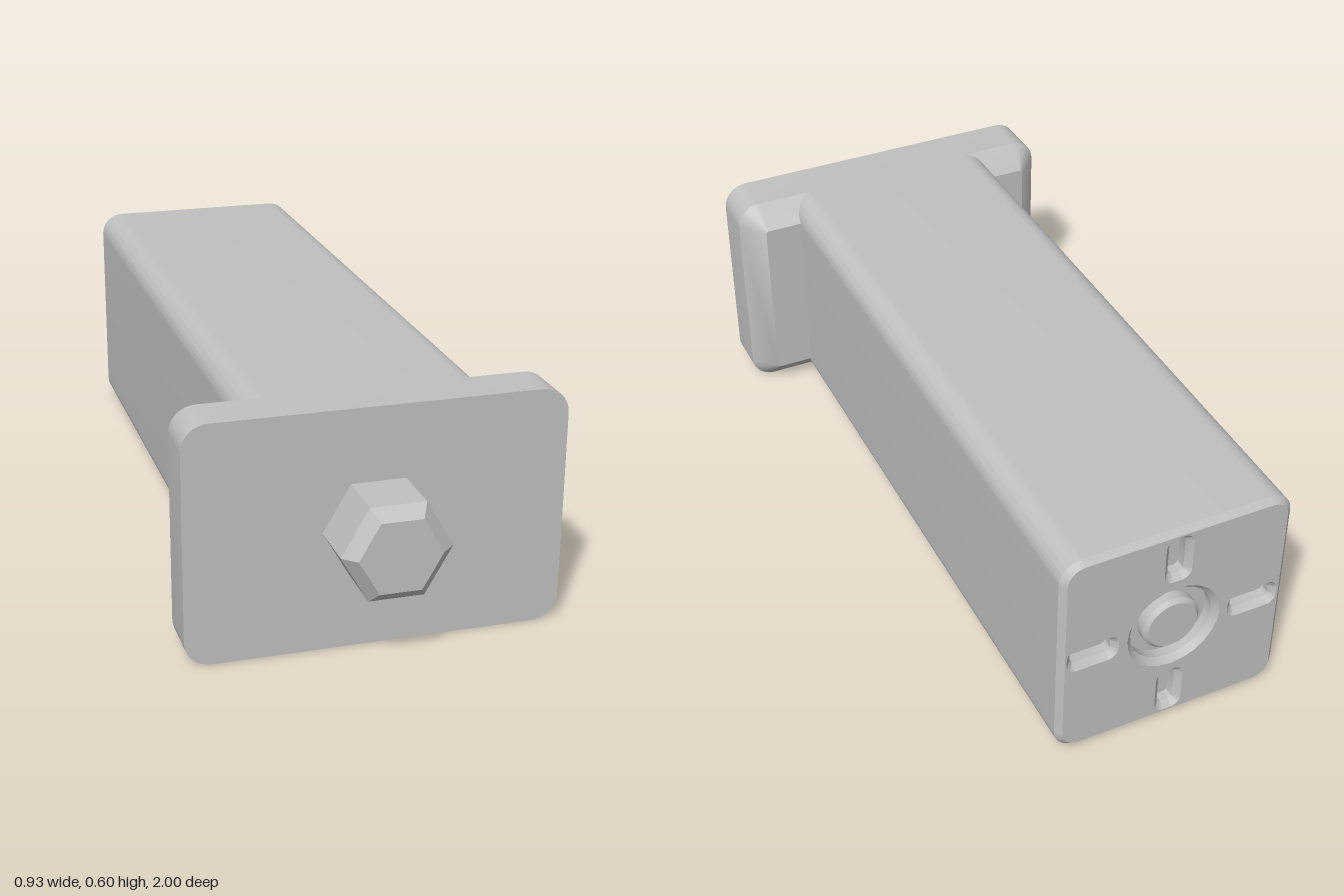
import * as THREE from 'three';
import { toCreasedNormals } from 'three/addons/utils/BufferGeometryUtils.js';

// Rounded rectangle centred on (x, y), as a Shape or as a hole Path
function roundRect(Type, x, y, w, h, r) {
  const s = new Type(), a = w / 2 - r, b = h / 2 - r;
  s.absarc(x + a, y + b, r, 0, Math.PI / 2);
  s.absarc(x - a, y + b, r, Math.PI / 2, Math.PI);
  s.absarc(x - a, y - b, r, Math.PI, Math.PI * 1.5);
  s.absarc(x + a, y - b, r, Math.PI * 1.5, Math.PI * 2);
  s.closePath();
  return s;
}

// Plate lofted through rounded rectangles, each section being [z, inset], with z rising
function loftPlate(w, h, r, sections) {
  const pos = [], steps = 8, n = 4 * (steps + 1);
  const rings = sections.map(([z, inset]) => {
    const rr = Math.max(r - inset, 0.008), ring = [];
    for (let q = 0; q < 4; q++) {
      const sx = q === 0 || q === 3 ? 1 : -1, sy = q < 2 ? 1 : -1;
      for (let i = 0; i <= steps; i++) {
        const t = (q + i / steps) * Math.PI / 2;
        ring.push([sx * (w / 2 - inset - rr) + rr * Math.cos(t),
          sy * (h / 2 - inset - rr) + rr * Math.sin(t), z]);
      }
    }
    return ring;
  });
  const last = rings.length - 1;
  for (let i = 0; i < n; i++) {
    const j = (i + 1) % n;
    for (let k = 0; k < last; k++) {
      const A = rings[k], B = rings[k + 1];
      pos.push(...A[i], ...A[j], ...B[j], ...A[i], ...B[j], ...B[i]);
    }
    pos.push(0, 0, sections[0][0], ...rings[0][j], ...rings[0][i]);
    pos.push(0, 0, sections[last][0], ...rings[last][i], ...rings[last][j]);
  }
  const g = new THREE.BufferGeometry();
  g.setAttribute('position', new THREE.Float32BufferAttribute(pos, 3));
  return g;
}

export function createModel() {
  const model = new THREE.Group();
  model.name = 'flangedBlock';
  const grey = new THREE.MeshStandardMaterial({ color: 0xc0c0c0 });
  grey.name = 'grey';
  const midY = 0.3;

  const add = (name, geometry, z = 0) => {
    const mesh = new THREE.Mesh(toCreasedNormals(geometry, 0.5), grey);
    mesh.name = name;
    mesh.position.set(0, midY, z);
    model.add(mesh);
    return mesh;
  };

  // Long body, with a round recess and four slots opening in its rear face
  const bevel = 0.015, rear = -1, bodyEnd = 0.76;
  const outline = roundRect(THREE.Shape, 0, 0, 0.6, 0.6, 0.06);
  outline.holes.push(new THREE.Path().absarc(0, 0, 0.108, 0, Math.PI * 2));
  for (const s of [-1, 1]) {
    outline.holes.push(roundRect(THREE.Path, s * 0.213, 0, 0.105, 0.042, 0.012));
    outline.holes.push(roundRect(THREE.Path, 0, s * 0.213, 0.042, 0.105, 0.012));
  }
  add('body', new THREE.ExtrudeGeometry(outline, {
    depth: bodyEnd - rear - 2 * bevel, curveSegments: 12, bevelEnabled: true,
    bevelSize: bevel, bevelThickness: bevel, bevelOffset: -bevel, bevelSegments: 1,
  }), rear + bevel);

  // Shared floor of the recess and slots
  add('recessFloor', new THREE.BoxGeometry(0.56, 0.56, 0.01), rear + 0.045);

  // Chamfered round stud inside the recess
  const studSide = new THREE.CylinderGeometry(0.075, 0.075, 0.03, 40, 1, true);
  add('rearStud', studSide.rotateX(-Math.PI / 2), rear + 0.03);
  const studTip = new THREE.CylinderGeometry(0.065, 0.075, 0.01, 40);
  add('rearStudTip', studTip.rotateX(-Math.PI / 2), rear + 0.01);

  // Wide front flange, chamfered on its back edge
  add('flange', loftPlate(0.93, 0.6, 0.065, [[0.65, 0.06], [0.71, 0], [0.833, 0]]));

  // Hexagonal bolt head with a chamfered tip
  const hex = (rTip, rBase, length) => new THREE.CylinderGeometry(rTip, rBase, length, 6)
    .rotateY(Math.PI / 6).rotateX(Math.PI / 2);
  add('boltHead', hex(0.134, 0.134, 0.15), 0.895);
  add('boltTip', hex(0.101, 0.134, 0.03), 0.985);

  return model;
}
